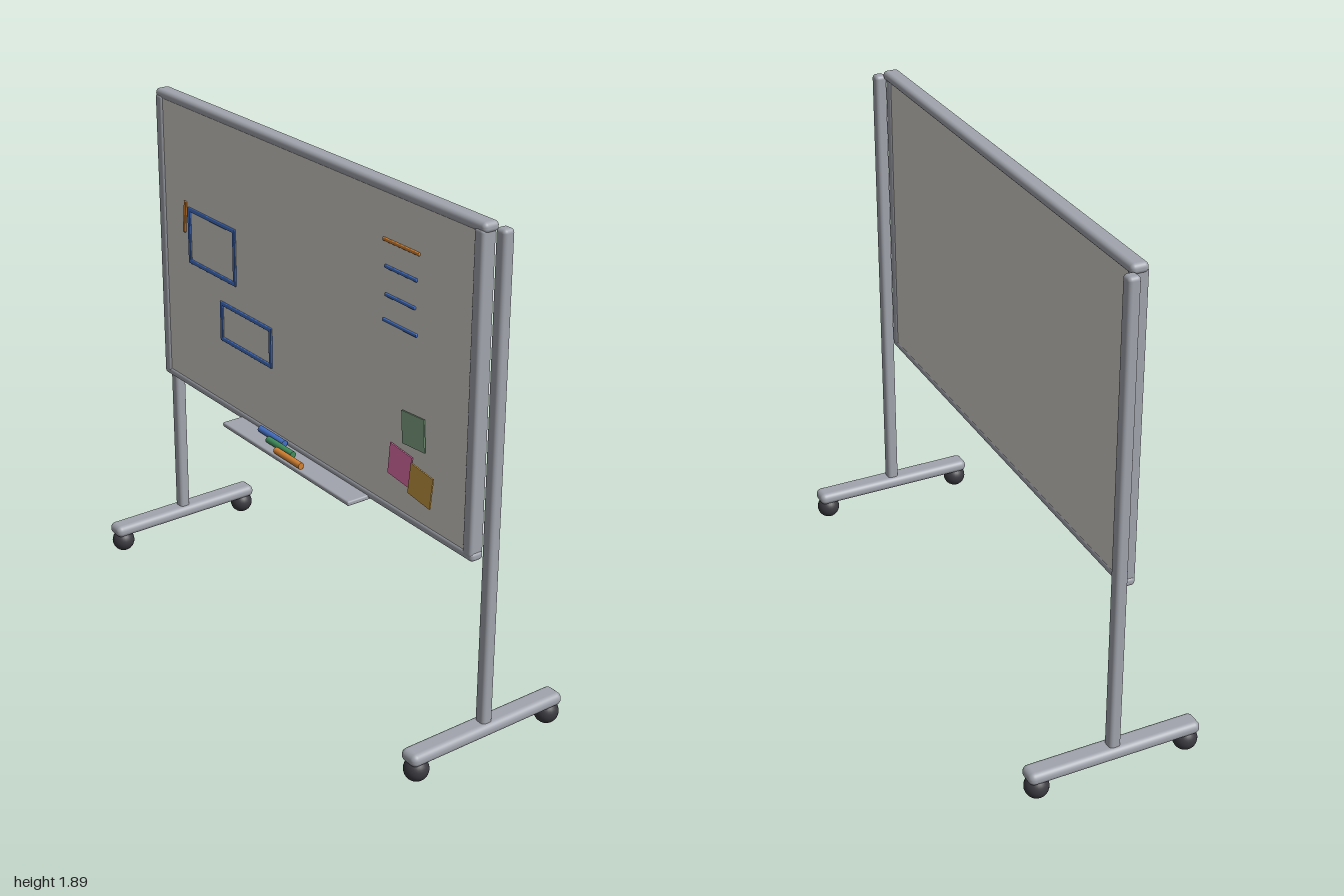
import * as THREE from 'three';
import { RoundedBoxGeometry } from 'three/addons/geometries/RoundedBoxGeometry.js';

const paint = (color) => new THREE.MeshStandardMaterial({ color });
const metal = paint(0xa1a4ad);
const panel = paint(0xd3d1c9);
const rubber = paint(0x3a3a40);
const blue = paint(0x4470c4);
const green = paint(0x3f8f5c);
const orange = paint(0xd58232);

function add(parent, name, geometry, material, x, y, z) {
  const mesh = new THREE.Mesh(geometry, material);
  mesh.name = name;
  mesh.position.set(x, y, z);
  parent.add(mesh);
  return mesh;
}

const rounded = (w, h, d, r) => new RoundedBoxGeometry(w, h, d, 4, r);

// A raised pen line on the board, between two points
function stroke(parent, name, material, x1, y1, x2, y2, width = 0.012) {
  const length = Math.hypot(x2 - x1, y2 - y1);
  const mesh = add(parent, name, rounded(length, width, 0.008, 0.003), material,
    (x1 + x2) / 2, (y1 + y2) / 2, 0.069);
  mesh.rotation.z = Math.atan2(y2 - y1, x2 - x1);
}

// A drawn rectangle made of four strokes
function drawnBox(parent, name, left, bottom, right, top) {
  const group = new THREE.Group();
  group.name = name;
  const w = 0.016, h = w / 2;
  for (const y of [bottom + h, top - h]) stroke(group, 'horizontalLine', blue, left, y, right, y, w);
  for (const x of [left + h, right - h]) stroke(group, 'verticalLine', blue, x, bottom, x, top, w);
  parent.add(group);
}

export function createModel() {
  const model = new THREE.Group();
  model.name = 'mobileWhiteboard';

  // Writing panel and its frame
  add(model, 'boardPanel', new THREE.BoxGeometry(1.84, 1.11, 0.044), panel, 0, 1.315, 0.043);
  add(model, 'topRail', rounded(1.885, 0.036, 0.062, 0.016), metal, 0, 1.872, 0.038);
  add(model, 'bottomRail', rounded(1.885, 0.034, 0.052, 0.014), metal, 0, 0.756, 0.044);

  // Stand: post, foot and two ball casters on each side
  for (const side of [-1, 1]) {
    const name = side > 0 ? 'left' : 'right';
    add(model, name + 'FrameBar', rounded(0.044, 1.115, 0.056, 0.012), metal, side * 0.916, 1.312, 0.044);
    add(model, name + 'Post', rounded(0.046, 1.775, 0.044, 0.014), metal, side * 0.956, 0.9825, 0);
    add(model, name + 'Foot', rounded(0.08, 0.048, 0.656, 0.022), metal, side * 0.956, 0.096, 0);
    for (const z of [-0.287, 0.287]) {
      add(model, name + 'Caster', new THREE.SphereGeometry(0.044, 24, 16), rubber, side * 0.956, 0.044, z);
    }
  }

  // Pen tray with three markers lying on it
  add(model, 'penTray', rounded(0.784, 0.018, 0.1, 0.006), metal, 0, 0.744, 0.105);
  const markers = [[blue, -0.158, 0.09], [green, -0.067, 0.117], [orange, 0.023, 0.145]];
  for (const [material, x, z] of markers) {
    add(model, 'marker', new THREE.CylinderGeometry(0.0125, 0.0125, 0.156, 16), material, x, 0.768, z)
      .rotation.z = Math.PI / 2;
  }

  // Drawings on the board
  drawnBox(model, 'upperDrawnBox', -0.732, 1.264, -0.414, 1.484);
  drawnBox(model, 'lowerDrawnBox', -0.522, 1.02, -0.187, 1.177);
  stroke(model, 'shortTick', orange, -0.761, 1.376, -0.747, 1.502, 0.015);
  stroke(model, 'headingLine', orange, 0.452, 1.704, 0.64, 1.704);
  for (const [x1, x2, y] of [[0.464, 0.63, 1.614], [0.468, 0.624, 1.518], [0.458, 0.635, 1.428]]) {
    stroke(model, 'listLine', blue, x1, y, x2, y);
  }

  // Sticky notes, each slightly turned
  const notes = [
    [0x84a586, 0.638, 1.094, 0.076, 0.07],
    [0xe673ad, 0.571, 0.944, 0.075, -0.1],
    [0xc99a45, 0.687, 0.916, 0.08, -0.12],
  ];
  for (const [color, x, y, z, turn] of notes) {
    add(model, 'stickyNote', new THREE.BoxGeometry(0.117, 0.117, 0.005), paint(color), x, y, z).rotation.z = turn;
  }

  return model;
}
